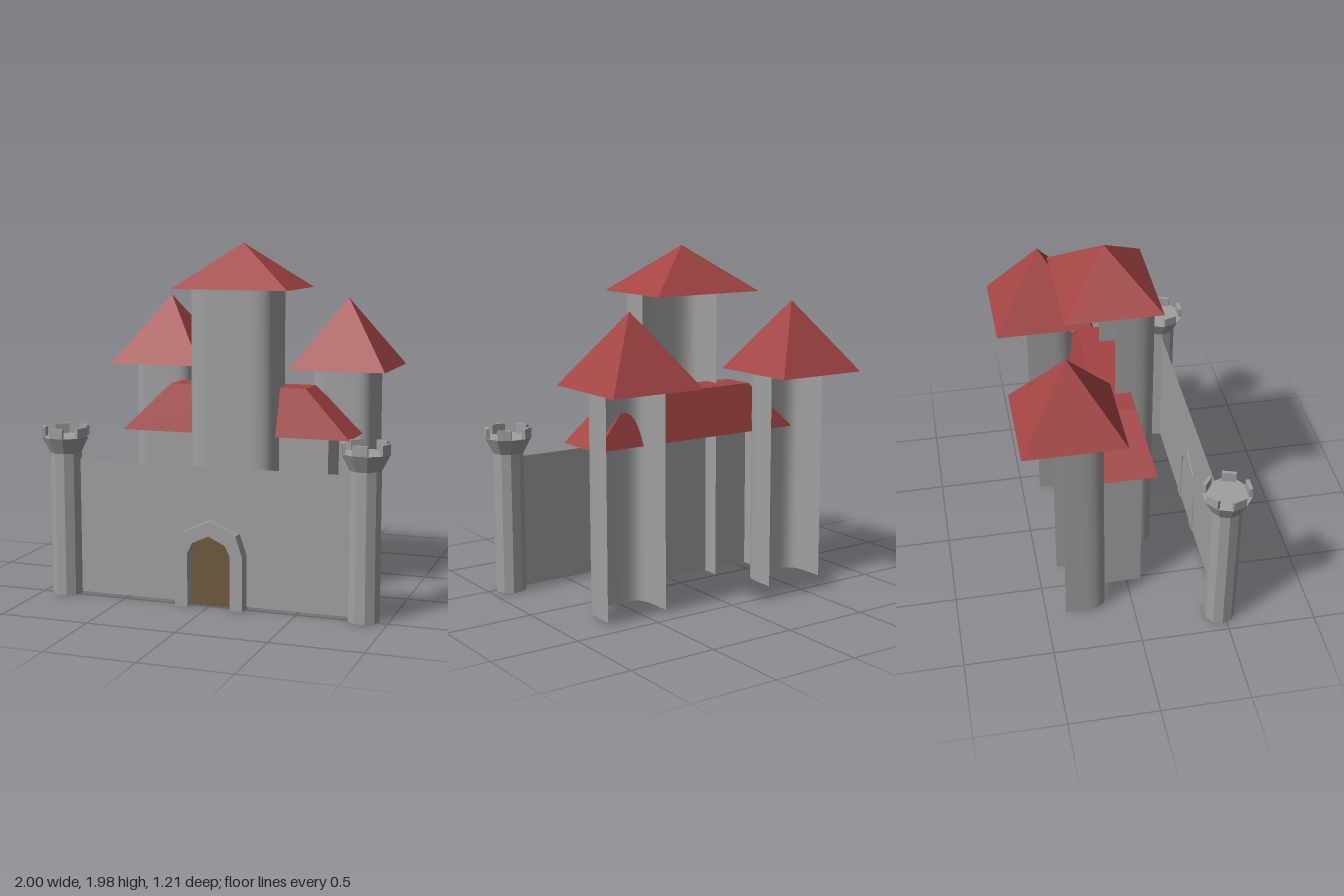
import * as THREE from 'three';

const stone = new THREE.MeshStandardMaterial({ color: 0xa0a0a0 });
stone.name = 'stone';
stone.side = THREE.DoubleSide;
const facetedStone = stone; // faceted parts get split vertices instead of a second material
const roofRed = new THREE.MeshStandardMaterial({ color: 0xa44444 });
roofRed.name = 'roofRed';
const doorBrown = new THREE.MeshStandardMaterial({ color: 0x6e5b3e });
doorBrown.name = 'doorBrown';
doorBrown.side = THREE.DoubleSide;

const CX = 0.015; // middle axis of the keep

function add(parent, name, geometry, material, x = 0, y = 0, z = 0) {
  const mesh = new THREE.Mesh(geometry, material);
  mesh.name = name;
  mesh.position.set(x, y, z);
  parent.add(mesh);
  return mesh;
}

// Give every face its own normal
function faceted(geometry) {
  const g = geometry.index ? geometry.toNonIndexed() : geometry;
  g.computeVertexNormals();
  return g;
}

// Upright wall following a ground plan of [x, z] points, open at top, bottom and back
function shell(plan, y0, y1) {
  const pos = [], idx = [];
  plan.forEach(([x, z], i) => {
    pos.push(x, y0, z, x, y1, z);
    if (i) {
      const a = 2 * (i - 1);
      idx.push(a, a + 2, a + 1, a + 1, a + 2, a + 3);
    }
  });
  const g = new THREE.BufferGeometry();
  g.setAttribute('position', new THREE.Float32BufferAttribute(pos, 3));
  g.setIndex(idx);
  g.computeVertexNormals();
  return g;
}

// Ground plan of a half tower: squarish with rounded front corners
function towerPlan(halfWidth, depth) {
  const plan = [], n = 20, power = 2 / 5;
  for (let i = 0; i <= n; i++) {
    const a = Math.PI * (1 - i / n);
    const c = i === n / 2 ? 0 : Math.cos(a);
    const s = i === 0 || i === n ? 0 : Math.sin(a);
    plan.push([Math.sign(c) * halfWidth * Math.abs(c) ** power, depth * s ** power]);
  }
  return plan;
}

// Closed hip roof: eave rectangle w x d, top rectangle tw x td
function hipRoof(w, d, h, tw = 0, td = 0) {
  const g = new THREE.BoxGeometry(w, h, d);
  const p = g.attributes.position;
  for (let i = 0; i < p.count; i++) {
    if (p.getY(i) > 0) {
      p.setX(i, Math.sign(p.getX(i)) * tw / 2);
      p.setZ(i, Math.sign(p.getZ(i)) * td / 2);
    }
  }
  g.translate(0, h / 2, 0);
  // Drop collapsed triangles so every face keeps a clean normal
  const src = g.toNonIndexed().attributes.position;
  const out = [], t = new THREE.Triangle();
  for (let i = 0; i < src.count; i += 3) {
    t.a.fromBufferAttribute(src, i);
    t.b.fromBufferAttribute(src, i + 1);
    t.c.fromBufferAttribute(src, i + 2);
    if (t.getArea() > 1e-6) for (const v of [t.a, t.b, t.c]) out.push(v.x, v.y, v.z);
  }
  const roof = new THREE.BufferGeometry();
  roof.setAttribute('position', new THREE.Float32BufferAttribute(out, 3));
  roof.computeVertexNormals();
  return roof;
}

function polygon(points, Type = THREE.Shape) {
  return new Type(points.map(([x, y]) => new THREE.Vector2(x, y)));
}

// Ten-sided turret with a flared head and five merlons
function turret(name) {
  const group = new THREE.Group();
  group.name = name;
  const profile = [[0, 0], [0.088, 0], [0.088, 0.81], [0.135, 0.9], [0, 0.9]]
    .map(([r, y]) => new THREE.Vector2(r, y));
  add(group, 'shaft', faceted(new THREE.LatheGeometry(profile, 10, Math.PI / 2)), facetedStone);
  for (let i = 0; i < 5; i++) {
    const holder = new THREE.Group();
    holder.name = 'merlonHolder';
    holder.rotation.y = (i * Math.PI * 2) / 5;
    add(holder, 'merlon', new THREE.BoxGeometry(0.08, 0.055, 0.02), stone, 0, 0.9275, 0.1184);
    group.add(holder);
  }
  return group;
}

export function createModel() {
  const castle = new THREE.Group();
  castle.name = 'castle';

  // Centre tower
  add(castle, 'centreTower', shell(towerPlan(0.255, 0.24), 0.015, 1.72), stone, CX, 0, -0.02);
  add(castle, 'centreRoof', hipRoof(0.68, 0.53, 0.255), roofRed, CX + 0.002, 1.72, -0.035);

  // Side towers
  for (const [side, label] of [[1, 'left'], [-1, 'right']]) {
    const x = 0.01 + side * 0.55;
    add(castle, label + 'Tower', shell(towerPlan(0.187, 0.24), 0.015, 1.26), stone, x, 0, -0.39);
    add(castle, label + 'Roof', hipRoof(0.56, 0.56, 0.4), roofRed, x, 1.26, -0.33);
  }

  // Hall between the towers
  const hallPlan = [[-0.545, -0.15], [-0.545, 0.08], [0.545, 0.08], [0.545, -0.15]];
  add(castle, 'hall', faceted(shell(hallPlan, 0.015, 0.9)), stone, 0.01);
  add(castle, 'hallRoof', hipRoof(1.35, 0.34, 0.27, 0.81, 0.2), roofRed, CX, 0.9, -0.03);

  // Front wall
  add(castle, 'frontWall', shell([[-0.79, 0.475], [0.79, 0.475]], 0.01, 0.775), stone);

  // Corner turrets
  for (const [side, label] of [[1, 'left'], [-1, 'right']]) {
    const t = turret(label + 'Turret');
    t.position.set(side * 0.864, 0, 0.475);
    castle.add(t);
  }

  // Gate arch and door
  const inner = [[-0.123, 0], [-0.123, 0.3], [-0.095, 0.36], [0, 0.405],
    [0.095, 0.36], [0.123, 0.3], [0.123, 0]];
  const outer = [[-0.195, 0], [-0.195, 0.3], [-0.155, 0.415], [0, 0.485],
    [0.155, 0.415], [0.195, 0.3], [0.195, 0]];
  const archShape = polygon([...outer, ...[...inner].reverse()]);
  const arch = new THREE.ExtrudeGeometry(archShape, { depth: 0.078, bevelEnabled: false });
  add(castle, 'gateArch', arch, stone, CX, 0, 0.47);
  add(castle, 'door', new THREE.ShapeGeometry(polygon(inner)), doorBrown, CX, 0, 0.485);

  return castle;
}
